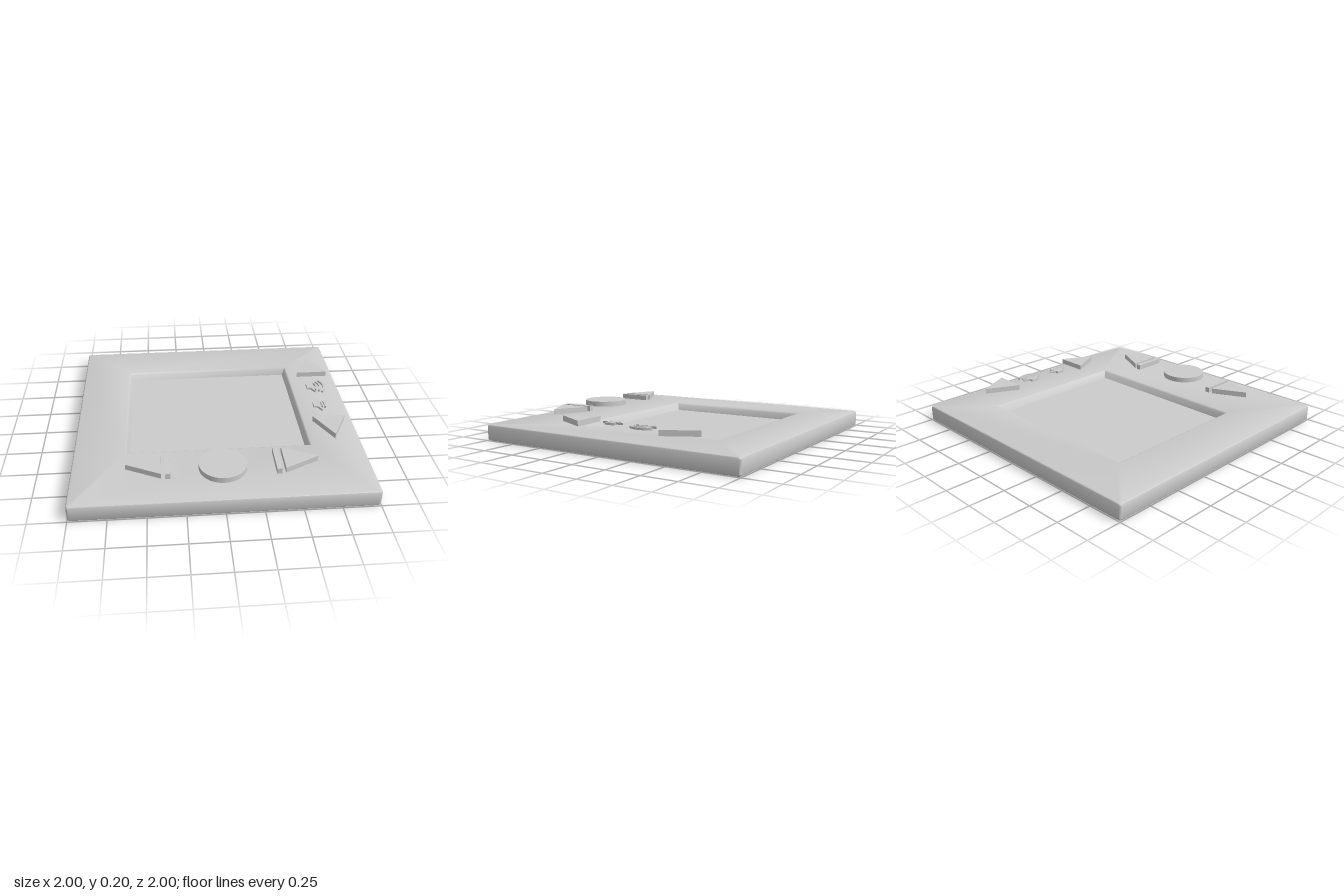
import * as THREE from 'three';
import { toCreasedNormals } from 'three/addons/utils/BufferGeometryUtils.js';

const material = new THREE.MeshStandardMaterial({ color: 0xcccccc });

// Horizontal rounded rectangle from x0..x1, z0..z1 at height y
function ring(x0, x1, z0, z1, y, r) {
  const pts = [];
  const corners = [[x1 - r, z1 - r], [x0 + r, z1 - r], [x0 + r, z0 + r], [x1 - r, z0 + r]];
  corners.forEach(([cx, cz], k) => {
    for (let j = 0; j <= 4; j++) {
      const a = (k + j / 4) * Math.PI / 2;
      pts.push([cx + r * Math.cos(a), y, cz + r * Math.sin(a)]);
    }
  });
  return pts;
}

// Skin joining successive rings
function loft(rings) {
  const pos = [];
  for (let k = 0; k < rings.length - 1; k++) {
    const lo = rings[k], hi = rings[k + 1], n = lo.length;
    for (let i = 0; i < n; i++) {
      const j = (i + 1) % n;
      pos.push(...lo[i], ...hi[i], ...lo[j], ...lo[j], ...hi[i], ...hi[j]);
    }
  }
  const geo = new THREE.BufferGeometry();
  geo.setAttribute('position', new THREE.Float32BufferAttribute(pos, 3));
  return toCreasedNormals(geo, 0.6);
}

// Flat plate from an outline in x and -z, between two heights
function plate(shape, y0, y1) {
  const geo = new THREE.ExtrudeGeometry(shape, { depth: y1 - y0, bevelEnabled: false, curveSegments: 16 });
  return geo.rotateX(-Math.PI / 2).translate(0, y0, 0);
}

const outline = (pts) => new THREE.Shape(pts.map(([x, z]) => new THREE.Vector2(x, -z)));

function add(group, name, geo) {
  const mesh = new THREE.Mesh(geo, material);
  mesh.name = name;
  group.add(mesh);
  return mesh;
}

// Speaker icon with curved sound waves
function speaker(name, z, radii, spread) {
  const g = new THREE.Group();
  g.name = name;
  const y0 = 0.178, y1 = 0.193;
  add(g, 'speakerCone', plate(outline([
    [0.733, z - 0.03], [0.758, z - 0.03], [0.787, z - 0.081],
    [0.787, z + 0.081], [0.758, z + 0.03], [0.733, z + 0.03],
  ]), y0, y1));
  radii.forEach((r) => {
    const s = new THREE.Shape();
    s.absarc(0, 0, r, -spread, spread, false);
    s.absarc(0, 0, r - 0.014, spread, -spread, true);
    s.closePath();
    add(g, 'soundWave', plate(s, y0, y1).translate(0.73, 0, z));
  });
  return g;
}

export function createModel() {
  const model = new THREE.Group();
  model.name = 'controlPanel';

  // Slab with softened edges and a sunken screen
  const b = 0.005, t = 0.12;
  const outer = (inset, y) => ring(-1 + inset, 1 - inset, -1 + inset, 1 - inset, y, 0.02);
  const recess = (inset, y) => ring(-0.65 + inset, 0.647 - inset, -0.657 + inset, 0.465 - inset, y, 0.003);
  add(model, 'slab', loft([
    ring(0, 0, 0, 0, b, 0),
    outer(0.012, b), outer(0.004, b + 0.004), outer(0, b + 0.012),
    outer(0, t - 0.012), outer(0.004, t - 0.004), outer(0.012, t),
    recess(0, t), recess(0.009, t - 0.004), recess(0.016, t - 0.013),
    recess(0.033, t - 0.058),
    ring(0, 0, -0.096, -0.096, t - 0.058, 0),
  ]));

  // Raised buttons
  const y0 = 0.166, y1 = 0.204;
  const round = new THREE.CylinderGeometry(0.158, 0.158, y1 - y0, 64);
  add(model, 'roundButton', round.translate(0, (y0 + y1) / 2, 0.73));

  for (const s of [-1, 1]) {
    const side = s < 0 ? 'previous' : 'next';
    add(model, side + 'Arrow', plate(outline([
      [s * 0.635, 0.7], [s * 0.403, 0.585], [s * 0.403, 0.815],
    ]), y0, y1));
    add(model, side + 'Bar', new THREE.BoxGeometry(0.034, y1 - y0, 0.24)
      .translate(s * 0.361, (y0 + y1) / 2, 0.7));
  }

  // Volume arrows, mirrored about their midpoint
  for (const s of [-1, 1]) {
    const mid = -0.087;
    add(model, s < 0 ? 'volumeUpArrow' : 'volumeDownArrow', plate(outline([
      [0.807, mid + s * 0.548], [0.691, mid + s * 0.316], [0.924, mid + s * 0.316],
    ]), y0, y1));
  }

  model.add(speaker('loudSpeaker', -0.214, [0.085, 0.114, 0.143], 0.65));
  model.add(speaker('quietSpeaker', 0.048, [0.078, 0.1], 0.42));
  return model;
}
